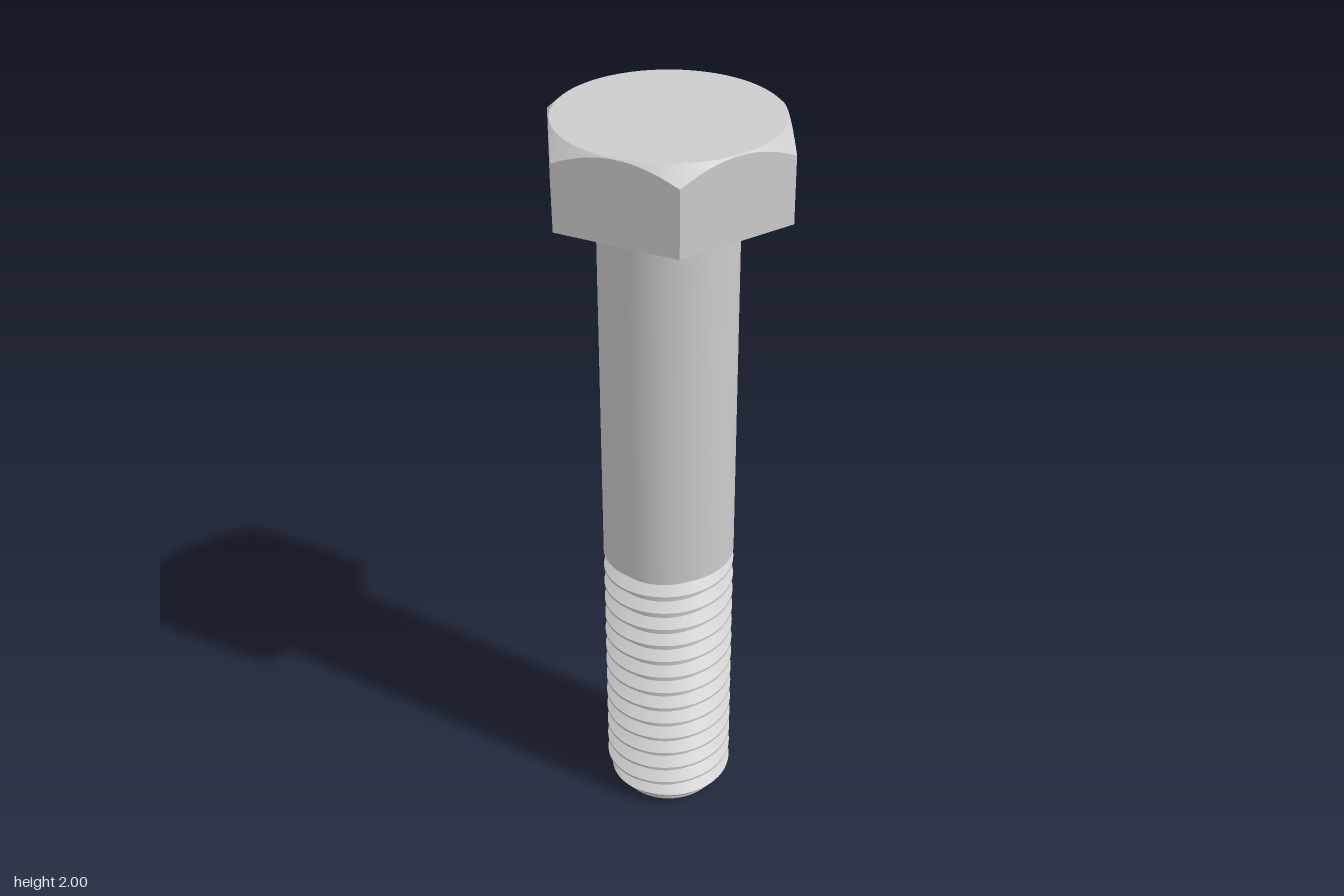
import * as THREE from 'three';
import { toCreasedNormals } from 'three/addons/utils/BufferGeometryUtils.js';

const SHANK_R = 0.172, ROOT_R = 0.142, TIP_R = 0.135;
const HEAD_Y = 1.79, TOP_Y = 2, THREAD_TOP = 0.79;
const PITCH = 0.054, CREST_Y = 0.05;
const APOTHEM = 0.275, FACE_R = 0.273;

// Hexagonal head: a lathe whose outer rings are pushed out to a hexagon,
// with the upper ring lowered along the chamfer cone.
function headGeometry() {
  const profile = [[0, HEAD_Y], [1, HEAD_Y], [1, TOP_Y], [FACE_R, TOP_Y], [0, TOP_Y]]
    .map(([r, y]) => new THREE.Vector2(r, y));
  const geometry = new THREE.LatheGeometry(profile, 96);
  const pos = geometry.attributes.position;
  const sixth = Math.PI / 3;
  for (let i = 0; i < pos.count; i++) {
    const x = pos.getX(i), y = pos.getY(i), z = pos.getZ(i);
    if (Math.hypot(x, z) < 0.9) continue;
    const a = Math.atan2(x, z);
    const r = APOTHEM / Math.cos(a - Math.round(a / sixth) * sixth);
    const drop = y > HEAD_Y + 0.01 ? (r - FACE_R) * 0.93 : 0;
    pos.setXYZ(i, Math.sin(a) * r, y - drop, Math.cos(a) * r);
  }
  return toCreasedNormals(geometry, 0.5);
}

// Thread: rings sheared into a right-handed helix, clamped at both ends.
function threadGeometry() {
  const cols = 72, perTurn = 16;
  const rows = Math.ceil(THREAD_TOP / PITCH + 3) * perTurn;
  const positions = [], index = [];
  for (let i = 0; i <= rows; i++) {
    for (let j = 0; j <= cols; j++) {
      const turn = j / cols;
      const helixY = CREST_Y + PITCH * (i / perTurn - 2 + turn);
      const y = THREE.MathUtils.clamp(helixY, 0, THREAD_TOP);
      // distance from the nearest crest, in pitches: flat crest, flank, flat root
      const s = (y - CREST_Y) / PITCH - turn;
      const d = Math.abs(s - Math.round(s));
      const t = THREE.MathUtils.clamp((d - 1 / 16) / (5 / 16), 0, 1);
      const r = Math.min(THREE.MathUtils.lerp(SHANK_R, ROOT_R, t), TIP_R + 0.75 * y);
      const a = turn * Math.PI * 2;
      positions.push(r * Math.cos(a), y, -r * Math.sin(a));
    }
  }
  const height = (k) => positions[k * 3 + 1];
  const addFace = (a, b, c) => {
    // leave out faces flattened by the clamping
    if (height(a) !== height(b) || height(b) !== height(c)) index.push(a, b, c);
  };
  for (let i = 0; i < rows; i++) {
    for (let j = 0; j < cols; j++) {
      const a = i * (cols + 1) + j, b = a + 1, c = a + cols + 1, d = c + 1;
      addFace(a, b, d);
      addFace(a, d, c);
    }
  }
  const geometry = new THREE.BufferGeometry();
  geometry.setAttribute('position', new THREE.Float32BufferAttribute(positions, 3));
  geometry.setIndex(index);
  return toCreasedNormals(geometry, 0.5);
}

export function createModel() {
  const bolt = new THREE.Group();
  bolt.name = 'hexBolt';
  const material = new THREE.MeshStandardMaterial({ color: 0xcccccc });
  const add = (name, geometry) => {
    const mesh = new THREE.Mesh(geometry, material);
    mesh.name = name;
    bolt.add(mesh);
    return mesh;
  };

  add('head', headGeometry());

  // Smooth shank; its lower cap closes the end of the thread groove
  const shank = add('shank', new THREE.CylinderGeometry(SHANK_R, SHANK_R, HEAD_Y - THREAD_TOP, 72));
  shank.position.y = (HEAD_Y + THREAD_TOP) / 2;

  add('thread', threadGeometry());

  // Flat end of the bolt
  const tip = add('tip', new THREE.CircleGeometry(TIP_R, 72));
  tip.rotation.x = Math.PI / 2;

  return bolt;
}
